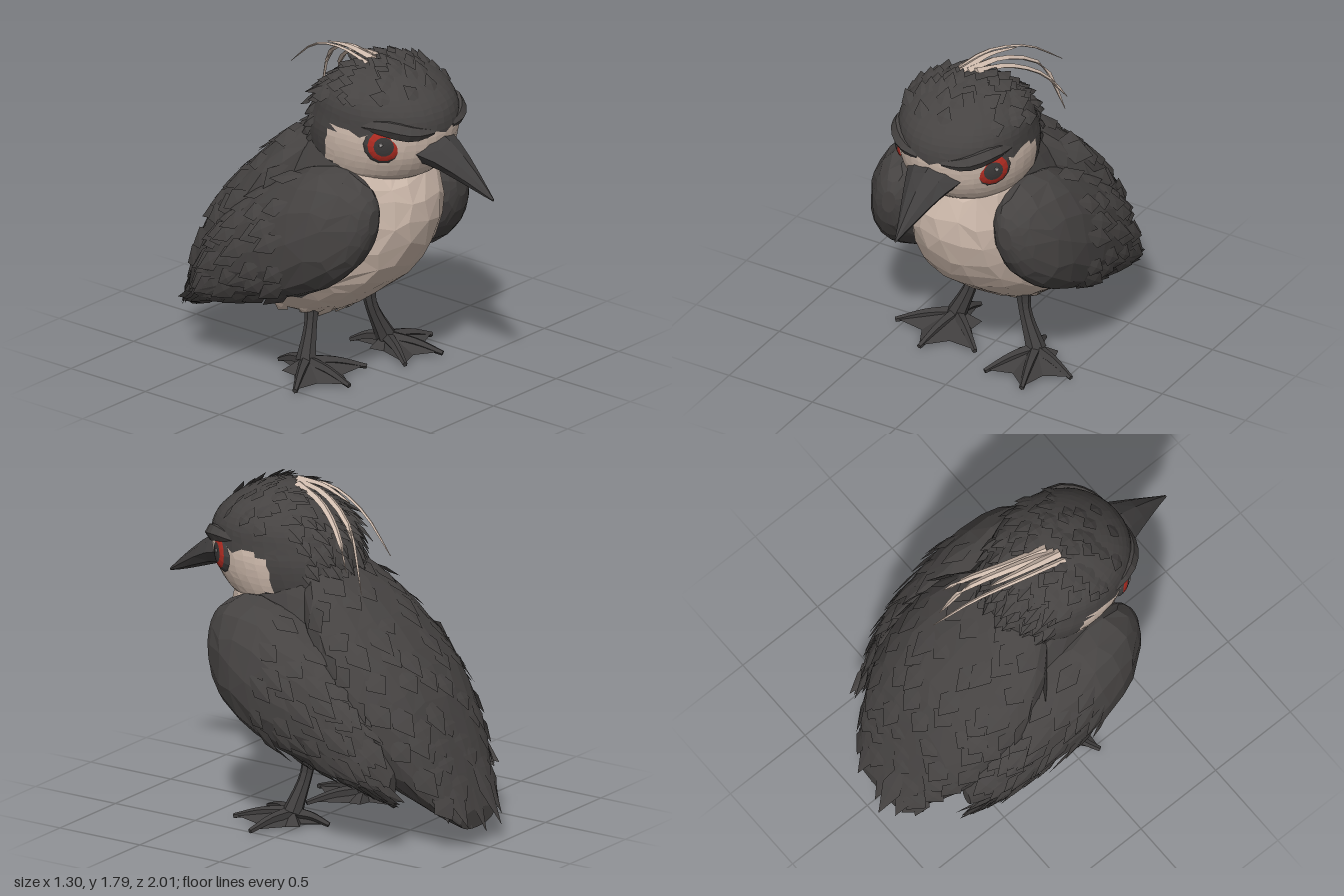
import * as THREE from 'three';

const V = (x, y, z) => new THREE.Vector3(x, y, z);
const mat = (name, color) => {
  const m = new THREE.MeshStandardMaterial({ color, flatShading: true, side: THREE.DoubleSide });
  m.name = name;
  return m;
};
const noise = (n) => { const s = Math.sin(n * 127.1 + 3.7) * 43758.55; return s - Math.floor(s) - 0.5; };
const pw = (v, p) => Math.sign(v) * Math.pow(Math.abs(v), p);

// Smooth interpolation through rows of numbers, t from 0 to 1
function spline(rows) {
  const it = new THREE.CubicInterpolant(
    new Float32Array(rows.map((_, i) => i)), new Float32Array(rows.flat()), rows[0].length);
  return (t) => Array.from(it.evaluate(THREE.MathUtils.clamp(t, 0, 0.9999) * (rows.length - 1)));
}

// Surface of level rings: rows of [y, frontZ, backZ, halfWidth]
function levelSurface(rows, p = 0.9) {
  const f = spline(rows);
  return (t, a) => {
    const [y, zf, zb, w] = f(t);
    return V(w * pw(Math.sin(a), p), y, (zf + zb) / 2 + (zf - zb) / 2 * pw(Math.cos(a), p));
  };
}

// Surface of upright rings: rows of [z, topY, bottomY, halfWidth, centreX], leaning outward by skew
function uprightSurface(rows, side = 1, skew = 0, p = 0.95) {
  const f = spline(rows);
  return (t, a) => {
    const [z, yt, yb, w, xc] = f(t);
    const dy = (yt - yb) / 2 * pw(Math.cos(a), p);
    return V(side * (xc + w * pw(Math.sin(a), p) - dy * skew), (yt + yb) / 2 + dy, z);
  };
}

// Closed mesh over a surface; paint(centroid) picks the material of each face
function skin(name, surf, nt, na, mats, paint = () => 0, jitter = 0) {
  const rings = [];
  for (let i = 0; i <= nt; i++) {
    const ring = [];
    for (let j = 0; j < na; j++) {
      const k = i * na + j;
      const inner = i > 0 && i < nt ? jitter : 0;
      ring.push(surf((i + noise(k) * inner) / nt, (j + noise(k + 999) * inner) / na * Math.PI * 2));
    }
    rings.push(ring);
  }
  const tris = [];
  for (let i = 0; i < nt; i++) for (let j = 0; j < na; j++) {
    const k = (j + 1) % na;
    const [a, b, c, d] = [rings[i][j], rings[i][k], rings[i + 1][k], rings[i + 1][j]];
    if ((i + j) % 2) tris.push([a, b, c], [a, c, d]);
    else tris.push([a, b, d], [b, c, d]);
  }
  [rings[0], rings[nt]].forEach((r, e) => {
    const c = r.reduce((s, q) => s.add(q), V(0, 0, 0)).divideScalar(na);
    r.forEach((q, j) => tris.push(e ? [c, q, r[(j + 1) % na]] : [c, r[(j + 1) % na], q]));
  });
  return faces(name, tris, mats, paint, true);
}

// Mesh from triangles, grouped by material, turned outward when closed
function faces(name, tris, mats, paint = () => 0, closed = false) {
  if (closed) {
    const vol = tris.reduce((s, [a, b, c]) => s + a.dot(V().crossVectors(b, c)), 0);
    if (vol < 0) tris.forEach((t) => t.reverse());
  }
  const geo = new THREE.BufferGeometry(), pos = [];
  mats.forEach((_, m) => {
    const start = pos.length / 3;
    tris.forEach((t) => {
      const c = V().add(t[0]).add(t[1]).add(t[2]).divideScalar(3);
      if (paint(c) === m) t.forEach((q) => pos.push(q.x, q.y, q.z));
    });
    geo.addGroup(start, pos.length / 3 - start, m);
  });
  geo.setAttribute('position', new THREE.Float32BufferAttribute(pos, 3));
  geo.computeVertexNormals();
  const mesh = new THREE.Mesh(geo, mats);
  mesh.name = name;
  return mesh;
}

// One ridged, pointed feather: base, direction, surface normal, length, half width, tip lift
function feather(b, d, n, len, w, lift) {
  const s = V().crossVectors(d, n).normalize().multiplyScalar(w);
  const base = b.clone().addScaledVector(n, -0.01);
  const mid = b.clone().addScaledVector(d, len * 0.55);
  const ridge = mid.clone().addScaledVector(n, lift * 0.8);
  const tip = b.clone().addScaledVector(d, len).addScaledVector(n, lift);
  const l = mid.clone().add(s), r = mid.clone().sub(s);
  return [[base, ridge, l], [l, ridge, tip], [base, r, ridge], [ridge, r, tip]];
}

// Rows of feathers lying on a surface and following a flow direction
function plumage(name, surf, material, flow, [t0, t1, nt], [a0, a1, na], len, w, lift) {
  const tris = [];
  for (let i = 0; i < nt; i++) for (let j = 0; j < na; j++) {
    const k = i * 31 + j * 7;
    const t = t0 + (t1 - t0) * (i + 0.5 + noise(k) * 0.8) / nt;
    const a = a0 + (a1 - a0) * (j + 0.5 + noise(k + 50) * 0.8) / na;
    const p = surf(t, a);
    const n = V().crossVectors(surf(t + 0.01, a).sub(p), surf(t, a + 0.02).sub(p)).normalize();
    if (n.dot(p.clone().sub(surf(t, a + Math.PI))) < 0) n.negate();
    const d = flow.clone().addScaledVector(n, -n.dot(flow)).normalize();
    tris.push(...feather(p, d, n, len * (1 + noise(k + 9) * 0.6), w, lift));
  }
  return faces(name, tris, [material]);
}

// Tapering limb, toe or plume along a curve
function taper(name, pts, radius, material, sides = 6, flat = 1) {
  const curve = new THREE.CatmullRomCurve3(pts);
  const surf = (t, a) => {
    const u = Math.min(Math.max(t, 0), 1), r = radius(u);
    const tan = curve.getTangent(u);
    const e1 = V().crossVectors(tan, Math.abs(tan.y) < 0.8 ? V(0, 1, 0) : V(0.1, 0.2, 1)).normalize();
    const e2 = V().crossVectors(tan, e1).normalize();
    return curve.getPoint(u).addScaledVector(e1, Math.cos(a) * r).addScaledVector(e2, Math.sin(a) * r * flat);
  };
  return skin(name, surf, 8, sides, [material]);
}

export function createModel() {
  const bird = new THREE.Group();
  bird.name = 'bird';
  const dark = mat('charcoalFeather', 0x464342), cream = mat('creamFeather', 0xd0bcae);
  const horn = mat('darkHorn', 0x403e3e), red = mat('redIris', 0xb02c22);
  const pupilMat = mat('pupil', 0x3a3838), glint = mat('glint', 0xa8a4a2);
  const PI = Math.PI;

  // Body with cream breast and belly
  const body = levelSurface([
    [0.27, -0.08, -0.4, 0.1], [0.31, 0.02, -0.48, 0.22], [0.38, 0.14, -0.58, 0.31], [0.48, 0.27, -0.68, 0.37],
    [0.6, 0.41, -0.72, 0.39], [0.8, 0.53, -0.66, 0.39], [1.0, 0.57, -0.52, 0.37], [1.2, 0.52, -0.28, 0.33],
    [1.34, 0.42, -0.12, 0.28]]);
  bird.add(skin('body', body, 13, 22, [dark, cream],
    (c) => (c.z > (c.y > 1 ? 0.3 : 0) || (c.y < 0.45 && c.z > -0.45) ? 1 : 0), 0.6));
  bird.add(plumage('bellyFeathers', body, cream, V(0, -1, -0.7), [0.08, 0.24, 2], [-1.5, 1.5, 10], 0.12, 0.04, 0.006));

  // Back running down into the tail
  const back = uprightSurface([
    [0.05, 1.5, 1.0, 0.2, 0], [-0.1, 1.39, 0.85, 0.36, 0], [-0.25, 1.28, 0.6, 0.44, 0], [-0.4, 1.15, 0.37, 0.465, 0],
    [-0.55, 1.0, 0.26, 0.44, 0], [-0.68, 0.82, 0.2, 0.38, 0], [-0.78, 0.59, 0.155, 0.31, 0],
    [-0.86, 0.38, 0.12, 0.23, 0], [-0.92, 0.2, 0.1, 0.15, 0]]);
  bird.add(skin('back', back, 14, 20, [dark], undefined, 0.5));
  bird.add(plumage('backFeathers', back, dark, V(0, -0.8, -1), [0.08, 0.84, 8], [-1.5, 1.5, 8], 0.2, 0.065, 0.006));
  const tail = [];
  [-0.88, -0.95, -1, -0.96, -0.92, -0.95, -0.88].forEach((tipZ, j) => {
    const i = j - 3, e = Math.abs(i);
    const start = V(i * 0.075, 0.55 - e * 0.03, -0.8);
    const d = V(i * 0.075 - 0.02, 0.07 + e * 0.03, tipZ).sub(start), len = d.length();
    tail.push(...feather(start, d.normalize(), V(i * 0.1, 0.4, -0.9).normalize(), len, 0.06, 0.006));
  });
  bird.add(faces('tailFeathers', tail, [dark]));

  // Head: dark cap, cream face and rounded cheeks
  const head = levelSurface([
    [1.14, 0.46, -0.12, 0.26], [1.2, 0.57, -0.15, 0.3], [1.3, 0.64, -0.15, 0.335], [1.4, 0.67, -0.14, 0.35],
    [1.48, 0.675, -0.11, 0.345], [1.56, 0.65, -0.07, 0.335], [1.63, 0.59, 0, 0.3], [1.69, 0.51, 0.08, 0.23],
    [1.735, 0.42, 0.16, 0.14], [1.755, 0.32, 0.25, 0.03]], 0.97);
  const isFace = (c) => (c.z > 0.35 ? c.y < 1.45
    : ((0.35 - c.z) / 0.22) ** 2 + ((c.y - 1.33) / 0.15) ** 2 < 1);
  bird.add(skin('head', head, 24, 38, [dark, cream], (c) => (isFace(c) ? 1 : 0), 0.25));
  bird.add(plumage('capFeathers', head, dark, V(0, -0.45, -1), [0.62, 0.96, 5], [0, PI * 2, 13], 0.13, 0.045, 0.01));
  bird.add(plumage('napeFeathers', head, dark, V(0, -0.9, -1), [0.15, 0.75, 7], [2.15, PI * 2 - 2.15, 8], 0.16, 0.04, 0.018));

  // Beak
  const beak = uprightSurface([
    [0.54, 1.46, 1.25, 0.19, 0], [0.66, 1.425, 1.24, 0.14, 0], [0.8, 1.335, 1.195, 0.083, 0],
    [0.92, 1.23, 1.155, 0.035, 0], [1.0, 1.15, 1.135, 0.006, 0]], 1, 0, 1.2);
  bird.add(skin('beak', beak, 6, 8, [horn]));

  // Trailing crest plumes
  [[V(-0.1, 1.74, 0.24), V(-0.05, 1.755, 0.02), V(0.04, 1.68, -0.24), V(0.12, 1.51, -0.46)],
    [V(-0.04, 1.75, 0.22), V(0.04, 1.735, 0), V(0.14, 1.61, -0.22), V(0.21, 1.3, -0.34)],
    [V(0, 1.75, 0.2), V(0.08, 1.7, 0), V(0.18, 1.59, -0.17), V(0.26, 1.42, -0.28)],
    [V(-0.06, 1.755, 0.24), V(-0.02, 1.76, 0.05), V(0.04, 1.72, -0.15)],
  ].forEach((pts, i) => bird.add(taper('crestPlume' + (i + 1), pts,
    (u) => (i ? 0.024 : 0.013) * Math.pow(1 - u, 0.5) + 0.002, cream, 4, 0.6)));

  for (const s of [1, -1]) {
    const label = s > 0 ? 'left' : 'right';

    // Folded wing with overlapping feathers
    const wing = uprightSurface([
      [0.49, 1.06, 0.93, 0.04, 0.35], [0.44, 1.15, 0.78, 0.11, 0.36], [0.3, 1.225, 0.63, 0.19, 0.38],
      [0.1, 1.21, 0.52, 0.23, 0.385], [-0.1, 1.11, 0.45, 0.23, 0.385], [-0.3, 0.97, 0.4, 0.2, 0.39],
      [-0.45, 0.82, 0.36, 0.155, 0.4], [-0.57, 0.64, 0.32, 0.09, 0.4], [-0.66, 0.44, 0.29, 0.03, 0.39]], s, 0.13);
    bird.add(skin(label + 'Wing', wing, 13, 16, [dark], undefined, 0.5));
    bird.add(plumage(label + 'WingFeathers', wing, dark, V(s * 0.03, -0.7, -1),
      [0.36, 0.82, 6], [0.3, 2.8, 7], 0.22, 0.055, 0.012));
    bird.add(plumage(label + 'FlightFeathers', wing, dark, V(s * 0.02, -0.5, -1),
      [0.45, 0.88, 5], [2, 3.1, 3], 0.25, 0.045, 0.012));

    // Eye made of coloured caps, under a heavy slanting brow
    const eye = new THREE.Group();
    eye.name = label + 'Eye';
    const caps = [['pupilCap', 0, 0.5, pupilMat], ['iris', 0.5, 0.88, red], ['eyeRim', 0.88, 1.35, horn]];
    for (const [name, t0, t1, m] of caps) {
      const cap = new THREE.Mesh(new THREE.SphereGeometry(0.11, 14, 3, 0, PI * 2, t0, t1 - t0), m);
      cap.name = name;
      eye.add(cap);
    }
    const spark = new THREE.Mesh(new THREE.SphereGeometry(0.012, 6, 4), glint);
    spark.name = 'eyeGlint';
    spark.position.set(0, 0.108, -0.02);
    eye.add(spark);
    eye.position.set(s * 0.252, 1.4, 0.475);
    eye.quaternion.setFromUnitVectors(V(0, 1, 0), V(s * 0.77, 0, 0.64).normalize());
    eye.scale.y = 0.55;
    bird.add(eye);
    bird.add(taper(label + 'Brow', [V(s * 0.07, 1.455, 0.66), V(s * 0.18, 1.465, 0.605),
      V(s * 0.275, 1.5, 0.5), V(s * 0.32, 1.49, 0.35)],
    (u) => 0.014 + 0.036 * Math.sin(PI * u), dark, 6));

    // Leg and webbed foot with ridged toes
    const right = s < 0;
    const ankle = right ? V(-0.26, 0.07, -0.04) : V(0.27, 0.07, 0.05);
    const [yaw, size] = right ? [-6, 1.02] : [20, 0.88];
    bird.add(taper(label + 'Leg', [V(s * 0.17, 0.42, ankle.z - 0.04), V(s * 0.185, 0.27, ankle.z - 0.03), ankle],
      (u) => 0.056 - 0.022 * Math.sin(PI * u), horn, 7));
    const outline = [[0, 0.32, 0.03], [26, 0.2, 0.02], [54, 0.31, 0.03], [80, 0.11, 0.02], [118, 0.13, 0.03],
      [150, 0.06, 0.02], [180, 0.2, 0.025], [210, 0.06, 0.02], [242, 0.13, 0.03], [280, 0.1, 0.02],
      [306, 0.31, 0.03], [334, 0.2, 0.02]];
    const rim = outline.map(([deg, r, y]) => {
      const a = (deg + yaw) * PI / 180;
      return V(ankle.x + Math.sin(a) * r * size, y, ankle.z + Math.cos(a) * r);
    });
    const foot = [];
    rim.forEach((p, i) => {
      const q = rim[(i + 1) % rim.length];
      foot.push([V(ankle.x, 0.1, ankle.z), p, q], [V(ankle.x, 0.005, ankle.z), q, p]);
    });
    bird.add(faces(label + 'Foot', foot, [horn]));
    [0, 2, 6, 10].forEach((i, k) => {
      const middle = ankle.clone().lerp(rim[i], 0.5).setY(0.062);
      bird.add(taper(label + 'Toe' + (k + 1), [ankle, middle, rim[i].clone().setY(0.022)],
        (u) => 0.036 - 0.022 * u, horn, 5));
    });
  }
  return bird;
}
